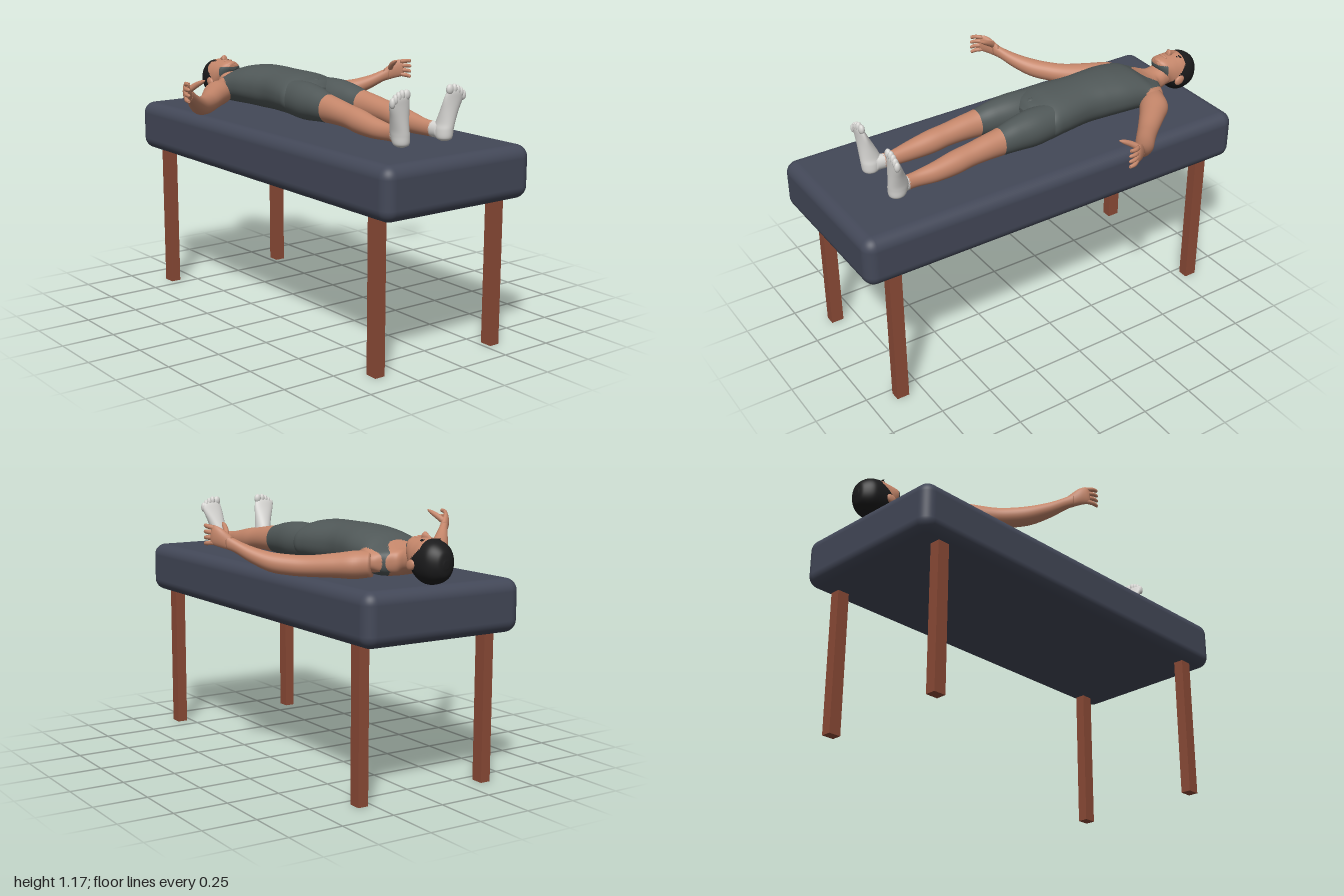
import * as THREE from 'three';
import { RoundedBoxGeometry } from 'three/addons/geometries/RoundedBoxGeometry.js';

const mat = (name, color) => {
  const m = new THREE.MeshStandardMaterial({ color });
  m.name = name;
  return m;
};
const skin = mat('skin', 0xc4866a);
const suit = mat('suit grey', 0x505858);
const hair = mat('hair black', 0x1b1b1c);
const sock = mat('sock white', 0xd6d5d2);
const pad = mat('pad blue grey', 0x434858);
const wood = mat('leg brown', 0x8c4b37);

// Smooth closed skin over oval sections [x, y, z, halfWidth, halfHeight];
// pick(x, y, z) chooses a material index for each face.
function loft(sections, axis, { up = [0, 1, 0], sides = 32, steps = 6, power = 1, pick = () => 0, count = 1 } = {}) {
  const dir = new THREE.Vector3(...axis).normalize();
  const side = new THREE.Vector3(...up).cross(dir).normalize();
  const rise = dir.clone().cross(side);
  const curve = (f) => new THREE.CatmullRomCurve3(sections.map(f), false, 'catmullrom', 0.5);
  const centre = curve((s) => new THREE.Vector3(s[0], s[1], s[2]));
  const size = curve((s) => new THREE.Vector3(s[3], s[4], 0));
  const rows = (sections.length - 1) * steps;
  const pos = [];
  const groups = Array.from({ length: count }, () => []);
  const bend = (v) => Math.sign(v) * Math.abs(v) ** power;
  for (let i = 0; i <= rows; i++) {
    const c = centre.getPoint(i / rows), r = size.getPoint(i / rows);
    for (let j = 0; j < sides; j++) {
      const a = (j / sides) * Math.PI * 2;
      const p = c.clone().addScaledVector(side, bend(Math.cos(a)) * r.x).addScaledVector(rise, bend(Math.sin(a)) * r.y);
      pos.push(p.x, p.y, p.z);
    }
  }
  const tri = (...t) => {
    const mid = [0, 1, 2].map((k) => (pos[t[0] * 3 + k] + pos[t[1] * 3 + k] + pos[t[2] * 3 + k]) / 3);
    groups[pick(...mid)].push(...t);
  };
  for (let i = 0; i < rows; i++) {
    for (let j = 0; j < sides; j++) {
      const k = (j + 1) % sides, a = i * sides + j, b = i * sides + k;
      tri(a, b, b + sides);
      tri(a, b + sides, a + sides);
    }
  }
  // end caps
  const first = pos.length / 3, last = first + 1, end = rows * sides;
  pos.push(...sections[0].slice(0, 3), ...sections[sections.length - 1].slice(0, 3));
  for (let j = 0; j < sides; j++) {
    const k = (j + 1) % sides;
    tri(first, k, j);
    tri(last, end + j, end + k);
  }
  const geo = new THREE.BufferGeometry();
  geo.setAttribute('position', new THREE.Float32BufferAttribute(pos, 3));
  geo.setIndex(groups.flat());
  let start = 0;
  groups.forEach((g, i) => { geo.addGroup(start, g.length, i); start += g.length; });
  geo.computeVertexNormals();
  return geo;
}

export function createModel() {
  const model = new THREE.Group();
  const add = (name, geo, material, p = [0, 0, 0], scale = [1, 1, 1]) => {
    const m = new THREE.Mesh(geo, material);
    m.name = name;
    m.position.set(...p);
    m.scale.set(...scale);
    model.add(m);
    return m;
  };
  const ball = new THREE.SphereGeometry(1, 20, 14);
  const Z = [0, 0, 1];

  // Table
  add('tablePad', new RoundedBoxGeometry(0.8, 0.235, 1.97, 6, 0.055), pad, [-0.03, 0.8025, 0.015]);
  for (const x of [-0.355, 0.298]) for (const z of [0.85, -0.82]) {
    add('tableLeg', new THREE.BoxGeometry(0.049, 0.7, 0.06), wood, [x, 0.35, z]);
  }

  // Torso and neck, with a tank top cut into the shoulders
  const isSuit = (x, y, z) => {
    const w = Math.abs(x);
    const neckline = -0.65 - 0.075 * Math.min(1, w / 0.085) ** 3;
    return z > neckline && (z > -0.58 || w < 0.155 + (z + 0.6) * 0.28) ? 0 : 1;
  };
  add('torso', loft([
    [0, 1.02, -0.83, 0.058, 0.05], [0, 1.01, -0.79, 0.06, 0.053], [0, 1.0, -0.75, 0.068, 0.053],
    [0, 0.995, -0.725, 0.11, 0.056], [0, 0.995, -0.7, 0.158, 0.061], [0, 1.0, -0.66, 0.176, 0.073],
    [0, 1.015, -0.6, 0.158, 0.092], [0, 1.025, -0.5, 0.153, 0.1], [0, 1.027, -0.4, 0.141, 0.103],
    [0, 1.027, -0.3, 0.136, 0.102], [0, 1.025, -0.15, 0.16, 0.1], [0, 1.02, -0.08, 0.164, 0.092],
    [0, 1.025, -0.03, 0.12, 0.075], [0, 1.03, 0, 0.05, 0.04],
  ], Z, { sides: 96, steps: 10, power: 0.9, pick: isSuit, count: 2 }), [suit, skin]);
  add('groin', ball, suit, [0, 1.07, -0.055], [0.03, 0.04, 0.035]);

  // Head: hair cap, face and a grey patch beneath the chin
  const headColour = (x, y, z) => {
    const hairline = -0.905 + 0.08 * THREE.MathUtils.clamp((1.07 - y) / 0.08, 0, 1);
    if (z < hairline) return 1;
    return z > -0.805 && y < 1.082 ? 2 : 0;
  };
  add('head', loft([
    [0, 1.01, -0.999, 0.012, 0.015], [0, 1.01, -0.987, 0.042, 0.055], [0, 1.013, -0.95, 0.073, 0.084],
    [0, 1.014, -0.9, 0.081, 0.096], [0, 1.02, -0.86, 0.079, 0.09], [0, 1.035, -0.83, 0.073, 0.074],
    [0, 1.058, -0.8, 0.06, 0.05], [0, 1.073, -0.782, 0.042, 0.031], [0, 1.08, -0.77, 0.022, 0.013],
  ], Z, { sides: 72, steps: 10, power: 0.94, pick: headColour, count: 3 }), [skin, hair, suit]);
  add('nose', loft([
    [0, 1.105, -0.892, 0.006, 0.007], [0, 1.11, -0.87, 0.009, 0.014],
    [0, 1.115, -0.85, 0.015, 0.018], [0, 1.108, -0.84, 0.012, 0.008],
  ], Z, { sides: 16 }), skin);
  add('lips', ball, skin, [0, 1.107, -0.817], [0.024, 0.008, 0.008]);
  add('chin', ball, skin, [0, 1.094, -0.787], [0.026, 0.014, 0.016]);

  for (const s of [-1, 1]) {
    const out = (list) => list.map(([x, ...rest]) => [x * s, ...rest]);

    // Face details and ears
    add('ear', ball, skin, [s * 0.08, 1.0, -0.862], [0.012, 0.022, 0.028]).rotation.x = 0.5;
    add('eyebrow', ball, hair, [s * 0.034, 1.102, -0.888], [0.02, 0.004, 0.004]);
    add('eye', ball, hair, [s * 0.031, 1.103, -0.874], [0.01, 0.003, 0.003]);

    // Arm
    add('arm', loft(out([
      [0.13, 0.985, -0.66, 0.055, 0.055], [0.19, 0.982, -0.62, 0.067, 0.06], [0.25, 0.977, -0.56, 0.058, 0.053],
      [0.33, 0.97, -0.475, 0.047, 0.046], [0.385, 0.972, -0.42, 0.044, 0.045], [0.45, 0.983, -0.36, 0.042, 0.043],
      [0.51, 1.012, -0.3, 0.033, 0.036], [0.56, 1.047, -0.25, 0.022, 0.03], [0.588, 1.066, -0.225, 0.018, 0.033],
    ]), [s, 0, 1]), skin);

    // Hand, upright, with the thumb on the inside
    const reach = [s * 0.5, 0.1, 0.85];
    add('palm', loft(out([
      [0.57, 1.055, -0.24, 0.019, 0.03], [0.603, 1.078, -0.212, 0.018, 0.04],
      [0.624, 1.09, -0.187, 0.014, 0.043], [0.633, 1.092, -0.172, 0.009, 0.037],
    ]), reach, { sides: 20 }), skin);
    for (let i = 0; i < 4; i++) {
      const y = 1.06 + i * 0.021, d = i - 1.5, tip = -0.12 - 0.006 * Math.abs(d);
      add('finger', loft(out([
        [0.626, y, -0.182, 0.01, 0.011], [0.641, y + d * 0.003, -0.155, 0.009, 0.01],
        [0.643, y + d * 0.005, -0.13, 0.007, 0.008], [0.643, y + d * 0.005, tip, 0.002, 0.002],
      ]), [s * 0.3, 0, 1], { sides: 10, steps: 4 }), skin);
    }
    add('thumb', loft(out([
      [0.59, 1.085, -0.225, 0.014, 0.016], [0.573, 1.11, -0.19, 0.012, 0.014],
      [0.562, 1.128, -0.155, 0.01, 0.01], [0.557, 1.138, -0.133, 0.003, 0.003],
    ]), [-s * 0.3, 0.4, 1], { sides: 12, steps: 4 }), skin);

    // Leg: shorts, bare shin and sock cuff
    add('leg', loft(out([
      [0.08, 1.02, -0.12, 0.078, 0.082], [0.088, 1.018, 0, 0.082, 0.087], [0.094, 1.015, 0.1, 0.07, 0.077],
      [0.099, 1.008, 0.18, 0.058, 0.065], [0.102, 1.003, 0.26, 0.053, 0.058], [0.104, 0.995, 0.34, 0.05, 0.053],
      [0.106, 0.984, 0.42, 0.05, 0.054], [0.108, 0.972, 0.52, 0.041, 0.046],
      [0.104, 0.966, 0.62, 0.028, 0.036], [0.112, 0.965, 0.7, 0.031, 0.036],
    ]), Z, {
      sides: 40, steps: 8, count: 3, pick: (x, y, z) => (z < 0.18 ? 0 : z < 0.655 ? 1 : 2),
    }), [suit, skin, sock]);

    // Foot, toes up and turned outward
    add('foot', loft(out([
      [0.12, 0.922, 0.715, 0.016, 0.018], [0.12, 0.935, 0.714, 0.034, 0.038], [0.122, 0.97, 0.71, 0.038, 0.047],
      [0.128, 1.0, 0.712, 0.038, 0.046], [0.138, 1.05, 0.723, 0.044, 0.035], [0.149, 1.1, 0.735, 0.052, 0.023],
      [0.154, 1.13, 0.742, 0.05, 0.016], [0.15, 1.145, 0.745, 0.036, 0.01],
    ]), [0, 1, 0], { up: [0, 0, -1] }), sock);
    [[0.12, 1.147, 0.018], [0.145, 1.148, 0.013], [0.164, 1.141, 0.012], [0.181, 1.131, 0.012], [0.196, 1.118, 0.012]]
      .forEach(([x, y, r]) => add('toe', ball, sock, [s * x, y, 0.745], [r, 0.023, 0.014]));
  }
  return model;
}
